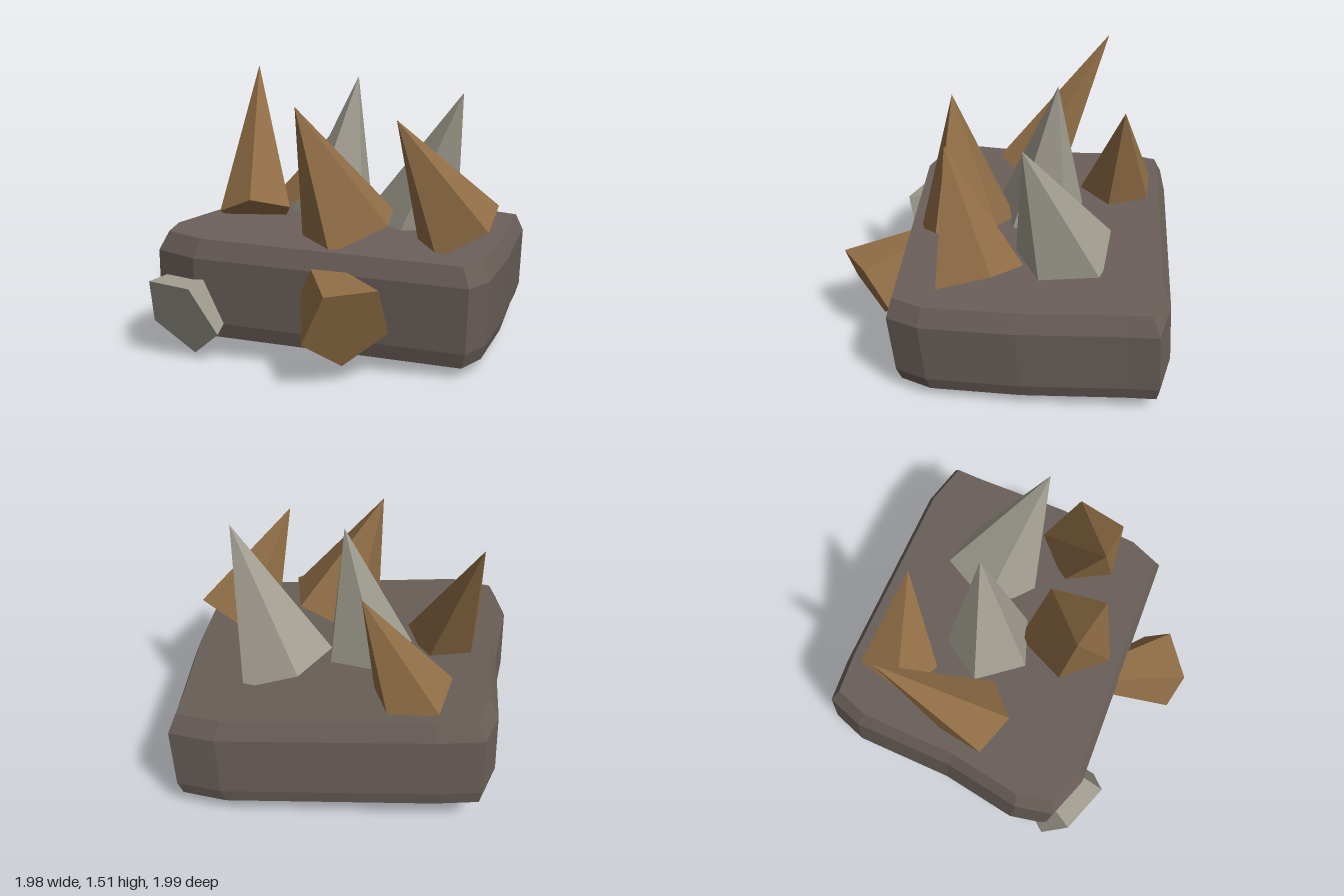
import * as THREE from 'three';

const rock = new THREE.MeshStandardMaterial({ color: 0x6a5f59, flatShading: true });
rock.name = 'dark rock';
const amber = new THREE.MeshStandardMaterial({ color: 0x8f6d45, flatShading: true });
amber.name = 'brown crystal';
const grey = new THREE.MeshStandardMaterial({ color: 0xa19d90, flatShading: true });
grey.name = 'grey crystal';

// Worn slab: one plan outline stacked in bevelled, slightly tilted rings
function slabGeometry() {
  const outline = [
    [-0.98, -0.47], [-0.76, -0.57], [0.33, -0.97], [0.59, -1.0], [0.64, -0.85],
    [0.84, -0.32], [0.98, 0.16], [0.97, 0.35], [-0.36, 0.88], [-0.61, 0.88],
    [-0.72, 0.7], [-0.8, 0.27], [-0.98, -0.26],
  ];
  const rings = [[-0.26, 0.97], [-0.18, 0.995], [0.16, 1], [0.26, 0.95]]; // height, scale
  const n = outline.length;
  const pos = [];
  const idx = [];
  const addPoint = (x, z, h, s) =>
    pos.push(x * s + 0.06 * h, 0.375 + h - 0.06 * x * s - 0.012 * z * s, (z + 0.04) * s - 0.04 + 0.05 * h);
  for (const [h, s] of rings) for (const [x, z] of outline) addPoint(x, z, h, s);
  addPoint(0, -0.04, -0.26, 1);
  addPoint(0, -0.04, 0.26, 1);
  const bottom = rings.length * n;
  const last = bottom - n;
  for (let i = 0; i < n; i++) {
    const j = (i + 1) % n;
    for (let r = 0; r < last; r += n) {
      idx.push(r + j, r + i, r + n + i, r + j, r + n + i, r + n + j);
    }
    idx.push(bottom, i, j, bottom + 1, last + j, last + i);
  }
  const g = new THREE.BufferGeometry();
  g.setAttribute('position', new THREE.Float32BufferAttribute(pos, 3));
  g.setIndex(idx);
  const flat = g.toNonIndexed();
  flat.computeVertexNormals();
  return flat;
}

// Five-sided spike from its base centre to its tip, turned so one base corner meets "corner"
function spike(name, material, centre, tip, corner) {
  const c = new THREE.Vector3(...centre);
  const axis = new THREE.Vector3(...tip).sub(c);
  const height = axis.length();
  axis.normalize();
  const out = new THREE.Vector3(...corner).sub(c);
  out.addScaledVector(axis, -out.dot(axis));
  const radius = out.length();
  out.normalize();
  const side = new THREE.Vector3().crossVectors(axis, out);
  const g = new THREE.ConeGeometry(radius, height, 5);
  g.translate(0, height / 2, 0);
  g.applyMatrix4(new THREE.Matrix4().makeBasis(side, axis, out).setPosition(c));
  const mesh = new THREE.Mesh(g, material);
  mesh.name = name;
  return mesh;
}

export function createModel() {
  const group = new THREE.Group();
  group.name = 'crystalRock';

  const slab = new THREE.Mesh(slabGeometry(), rock);
  slab.name = 'rockSlab';
  group.add(slab);

  // Spikes on top
  group.add(
    spike('tallBrownSpike', amber, [-0.494, 0.676, 0.224], [-0.79, 1.51, -0.15], [-0.4, 0.77, 0.39]),
    spike('backBrownSpike', amber, [-0.53, 0.64, -0.34], [-0.27, 1.27, -0.455], [-0.69, 0.73, -0.2]),
    spike('centreGreySpike', grey, [-0.12, 0.65, -0.02], [-0.04, 1.46, -0.15], [-0.1, 0.69, 0.23]),
    spike('backGreySpike', grey, [0.25, 0.62, -0.33], [0.595, 1.38, -0.238], [0.02, 0.71, -0.19]),
    spike('frontBrownSpike', amber, [0.22, 0.65, 0.28], [0, 1.32, 0.477], [0.49, 0.72, 0.33]),
    spike('rightBrownSpike', amber, [0.705, 0.667, -0.024], [0.488, 1.26, 0.255], [0.85, 0.79, -0.19]),
  );

  // Spikes driven into the front, with their flat ends showing
  group.add(
    spike('embeddedGreySpike', grey, [-0.43, 0.23, 0.91], [-0.43, 0.56, 0.16], [-0.43, 0.005, 0.81]),
    spike('embeddedBrownSpike', amber, [0.547, 0.306, 0.764], [-0.04, 0.57, 0.39], [0.54, 0.475, 0.93]),
  );
  return group;
}
